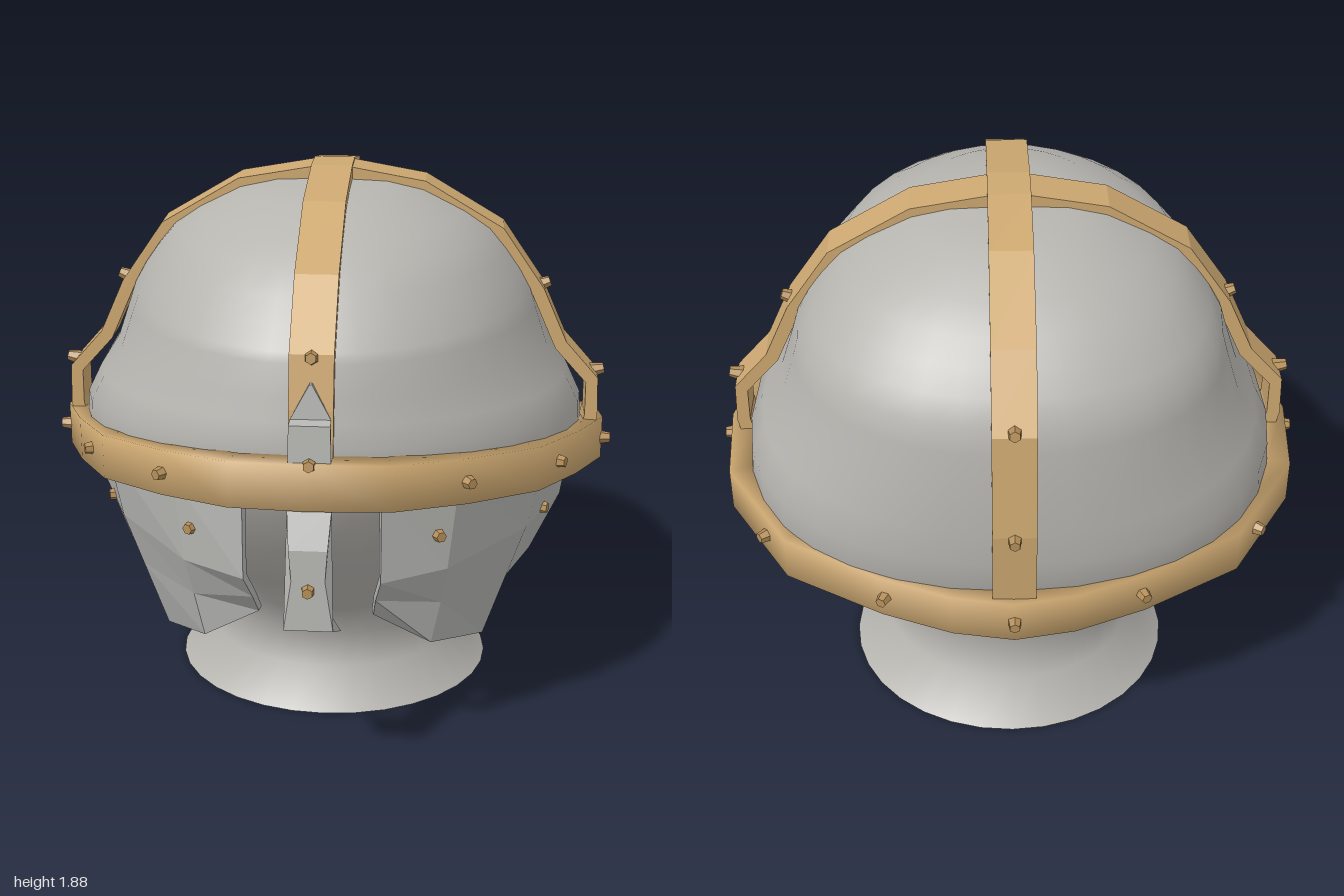
import * as THREE from 'three';

const V = (x, y, z) => new THREE.Vector3(x, y, z);

// Surface through a grid of points; rows may wrap round, columns always do.
// Flat plates are loops of outer then inner points, so the inner half swaps its diagonals.
function gridSurface(rows, wrapRows, flat) {
  const n = rows.length, m = rows[0].length, index = [];
  for (let i = 0; i < (wrapRows ? n : n - 1); i++) {
    for (let j = 0; j < m; j++) {
      const a = i * m + j, b = ((i + 1) % n) * m + j;
      const c = i * m + (j + 1) % m, d = ((i + 1) % n) * m + (j + 1) % m;
      if (flat && j >= m / 2) index.push(a, b, d, a, d, c);
      else index.push(a, b, c, b, d, c);
    }
  }
  let geo = new THREE.BufferGeometry().setFromPoints(rows.flat());
  geo.setIndex(index);
  if (flat) geo = geo.toNonIndexed();
  geo.computeVertexNormals();
  return geo;
}

// Egg-shaped rings: [y at z = 0, half width, front z, back z, z of widest point, forward slope]
function eggLoft(sections) {
  const rows = sections.map(([y, rx, zf, zb, cz, slope]) => Array.from({ length: 32 }, (_, j) => {
    const a = j / 32 * Math.PI * 2, front = Math.sin(a) >= 0;
    const power = y > 0.7 && !front ? 0.89 : 1; // fuller at the back of the skull
    const c = Math.sign(Math.cos(a)) * Math.abs(Math.cos(a)) ** power;
    const s = Math.sign(Math.sin(a)) * Math.abs(Math.sin(a)) ** power;
    const z = cz + s * (front ? zf - cz : cz - zb);
    return V(rx * c, y + slope * z, z);
  }));
  return gridSurface(rows, false, false);
}

// Closed outline extruded evenly to both sides
function extrudeOutline(points, width) {
  const geo = new THREE.ExtrudeGeometry(new THREE.Shape(points), { depth: width, bevelEnabled: false });
  return geo.translate(0, 0, -width / 2);
}

// Strap along a 2D path, thickened to the left of it
function strapGeometry(path, thickness, width) {
  const pts = path.map(p => new THREE.Vector2(...p));
  const inner = pts.map((p, i) => {
    const t = pts[Math.min(i + 1, pts.length - 1)].clone().sub(pts[Math.max(i - 1, 0)]).normalize();
    return new THREE.Vector2(p.x - t.y * thickness, p.y + t.x * thickness);
  });
  return extrudeOutline([...pts, ...inner.reverse()], width);
}

export function createModel() {
  const group = new THREE.Group();
  const mat = (name, color, side = THREE.FrontSide) => {
    const m = new THREE.MeshStandardMaterial({ color, side });
    m.name = name;
    return m;
  };
  const steel = mat('steel', 0xb7b5b0, THREE.DoubleSide);
  const plate = mat('plate steel', 0xb7b7b4, THREE.DoubleSide);
  const brass = mat('brass', 0xcda871);
  const rivetBrass = mat('rivet brass', 0xb58f59);
  const add = (name, geo, material) => {
    const mesh = new THREE.Mesh(geo, material);
    mesh.name = name;
    group.add(mesh);
    return mesh;
  };

  // Flared collar, neck and skull in one skin, open underneath; its rim follows the tilted band
  add('skull', eggLoft([
    [0, 0.57, 0.385, -0.7, -0.155, 0], [0.13, 0.45, 0.28, -0.57, -0.145, 0],
    [0.27, 0.45, 0.28, -0.57, -0.145, 0], [0.4, 0.47, 0.37, -0.575, -0.15, 0],
    [0.52, 0.58, 0.49, -0.64, -0.17, 0.05], [0.66, 0.74, 0.65, -0.7, -0.19, 0.12],
    [0.78, 0.84, 0.75, -0.77, -0.2, 0.17], [0.91, 0.895, 0.82, -0.86, -0.2, 0.18],
    [1.06, 0.885, 0.82, -0.875, -0.2, 0.14], [1.16, 0.835, 0.805, -0.876, -0.2, 0.11],
    [1.27, 0.765, 0.785, -0.87, -0.2, 0.08], [1.4, 0.72, 0.765, -0.857, -0.2, 0.04],
    [1.46, 0.7, 0.745, -0.838, -0.2, 0], [1.53, 0.66, 0.685, -0.793, -0.18, 0],
    [1.6, 0.61, 0.62, -0.737, -0.16, 0], [1.67, 0.55, 0.545, -0.665, -0.13, 0],
    [1.73, 0.46, 0.44, -0.58, -0.11, 0], [1.8, 0.32, 0.285, -0.435, -0.1, 0],
    [1.828, 0.2, 0.12, -0.3, -0.1, 0], [1.837, 0.001, -0.099, -0.101, -0.1, 0],
  ]), steel);

  // Tilted brow band, square in section
  const half = [[0, 0.9], [0.26, 0.87], [0.49, 0.72], [0.72, 0.5], [0.86, 0.2], [0.965, -0.1],
    [0.955, -0.36], [0.75, -0.66], [0.43, -0.82], [0.2, -0.9], [0, -0.93]];
  const plan = [...half, ...half.slice(1, -1).reverse().map(([x, z]) => [-x, z])];
  const section = [[0, -0.077], [0, 0.077], [-0.08, 0.077], [-0.08, -0.077]];
  const bandY = z => 0.912 + 0.1825 * z;
  const bandRows = plan.map(([x, z], i) => {
    const p = plan[(i + plan.length - 1) % plan.length], q = plan[(i + 1) % plan.length];
    const len = Math.hypot(q[0] - p[0], q[1] - p[1]);
    const nx = -(q[1] - p[1]) / len, nz = (q[0] - p[0]) / len;
    return section.map(([o, dy]) => V(x + nx * o, bandY(z) + dy, z + nz * o));
  });
  add('browBand', gridSurface(bandRows, true, false), brass);

  // Crossing straps over the crown
  const crown = strapGeometry([[0.85, 1.06], [0.83, 1.155], [0.815, 1.3], [0.78, 1.47], [0.59, 1.67],
    [0.285, 1.83], [-0.03, 1.88], [-0.17, 1.88], [-0.43, 1.83], [-0.715, 1.66],
    [-0.88, 1.45], [-0.92, 1.09], [-0.9, 0.76]], 0.045, 0.14);
  add('crownStrap', crown.rotateY(-Math.PI / 2), brass);
  const arm = [[0.92, 0.9], [0.94, 1.0], [0.935, 1.14], [0.82, 1.27], [0.735, 1.46], [0.59, 1.67],
    [0.32, 1.83], [0.07, 1.874]];
  const side = strapGeometry([...arm, ...arm.slice().reverse().map(([x, y]) => [-x, y])], 0.045, 0.14);
  add('sideStrap', side.translate(0, 0, -0.1), brass);

  // Nose guard: a bent bar whose half width changes with height, pointed at both ends
  const nose = extrudeOutline([[0.745, 0.515], [0.94, 0.61], [0.94, 0.78], [0.94, 0.885], [0.885, 1.0],
    [0.87, 1.27], [0.825, 1.275], [0.815, 1.385], [0.79, 1.385], [0.8, 1.27], [0.81, 1.15],
    [0.84, 1.0], [0.89, 0.87], [0.89, 0.78], [0.89, 0.63]]
    .map(p => new THREE.Vector2(...p)), 2).rotateY(-Math.PI / 2);
  const widths = [[0.4, 0.09], [0.515, 0.09], [0.62, 0.077], [0.78, 0.053], [1.0, 0.07], [1.272, 0.065],
    [1.385, 0.004], [2, 0.004]];
  const pos = nose.attributes.position;
  for (let i = 0; i < pos.count; i++) {
    const y = pos.getY(i), k = widths.findIndex(w => w[0] > y);
    const [y0, w0] = widths[k - 1], [y1, w1] = widths[k];
    pos.setX(i, pos.getX(i) * (w0 + (w1 - w0) * (y - y0) / (y1 - y0)));
  }
  nose.computeVertexNormals();
  add('noseGuard', nose, plate);

  // Faceted cheek plates, columns from back to front, each from top to bottom
  const cheek = [
    [[0.85, 0.92, 0], [0.82, 0.71, -0.01], [0.72, 0.49, -0.015], [0.54, 0.266, -0.025]],
    [[0.74, 0.99, 0.36], [0.69, 0.73, 0.35], [0.63, 0.54, 0.33], [0.555, 0.3, 0.3]],
    [[0.46, 1.02, 0.69], [0.43, 0.72, 0.68], [0.41, 0.57, 0.62], [0.38, 0.41, 0.6]],
    [[0.22, 1.04, 0.81], [0.22, 0.72, 0.81], [0.2, 0.62, 0.73], [0.19, 0.53, 0.65]],
  ];
  for (const s of [1, -1]) {
    const rows = cheek.map(col => {
      const outer = col.map(([x, y, z]) => V(x * s, y, z));
      const inner = col.map(([x, y, z]) => V(x * 0.965 * s, y + 0.005, z * 0.96));
      return [...outer, ...inner.reverse()];
    });
    const cap = r => [...r.slice(4).reverse(), ...r.slice(4)];
    const loops = [cap(rows[0]), ...rows, cap(rows[3])];
    if (s < 0) loops.reverse();
    add(s > 0 ? 'leftCheekPlate' : 'rightCheekPlate', gridSurface(loops, false, true), plate);
  }

  // Rivets: position and outward direction; those off the centre line are mirrored
  const stud = new THREE.CylinderGeometry(0.018, 0.028, 0.06, 6).toNonIndexed();
  stud.computeVertexNormals();
  const rivet = (p, d) => {
    const mesh = add('rivet', stud, rivetBrass);
    mesh.position.set(...p);
    mesh.quaternion.setFromUnitVectors(V(0, 1, 0), V(...d).normalize());
  };
  const rivets = [
    [[0, 1.46, 0.78], [0, 0.2, 1]], [[0, 1.145, 0.88], [0, 0.2, 1]], [[0, 0.75, 0.935], [0, 0, 1]],
    [[0, 1.46, -0.87], [0, 0.3, -1]], [[0, 1.08, -0.92], [0, 0, -1]],
    [[0, bandY(-0.93), -0.93], [0, 0, -1]],
    [[0.73, 1.46, -0.1], [1, 0.4, 0]], [[0.93, 1.15, -0.1], [1, 0.2, 0]],
    [[0.395, 0.85, 0.7], [0.45, 0, 0.8]], [[0.74, 0.74, 0.19], [1, 0, 0.35]],
    [[0.485, bandY(0.72), 0.72], [0.6, 0, 0.8]], [[0.785, bandY(0.35), 0.35], [0.9, 0, 0.4]],
    [[0.965, bandY(-0.1), -0.1], [1, 0, 0]], [[0.82, bandY(-0.56), -0.56], [0.8, 0, -0.6]],
    [[0.42, bandY(-0.82), -0.825], [0.4, 0, -0.9]],
  ];
  for (const [p, d] of rivets) {
    rivet(p, d);
    if (p[0] > 0) rivet([-p[0], p[1], p[2]], [-d[0], d[1], d[2]]);
  }
  return group;
}
